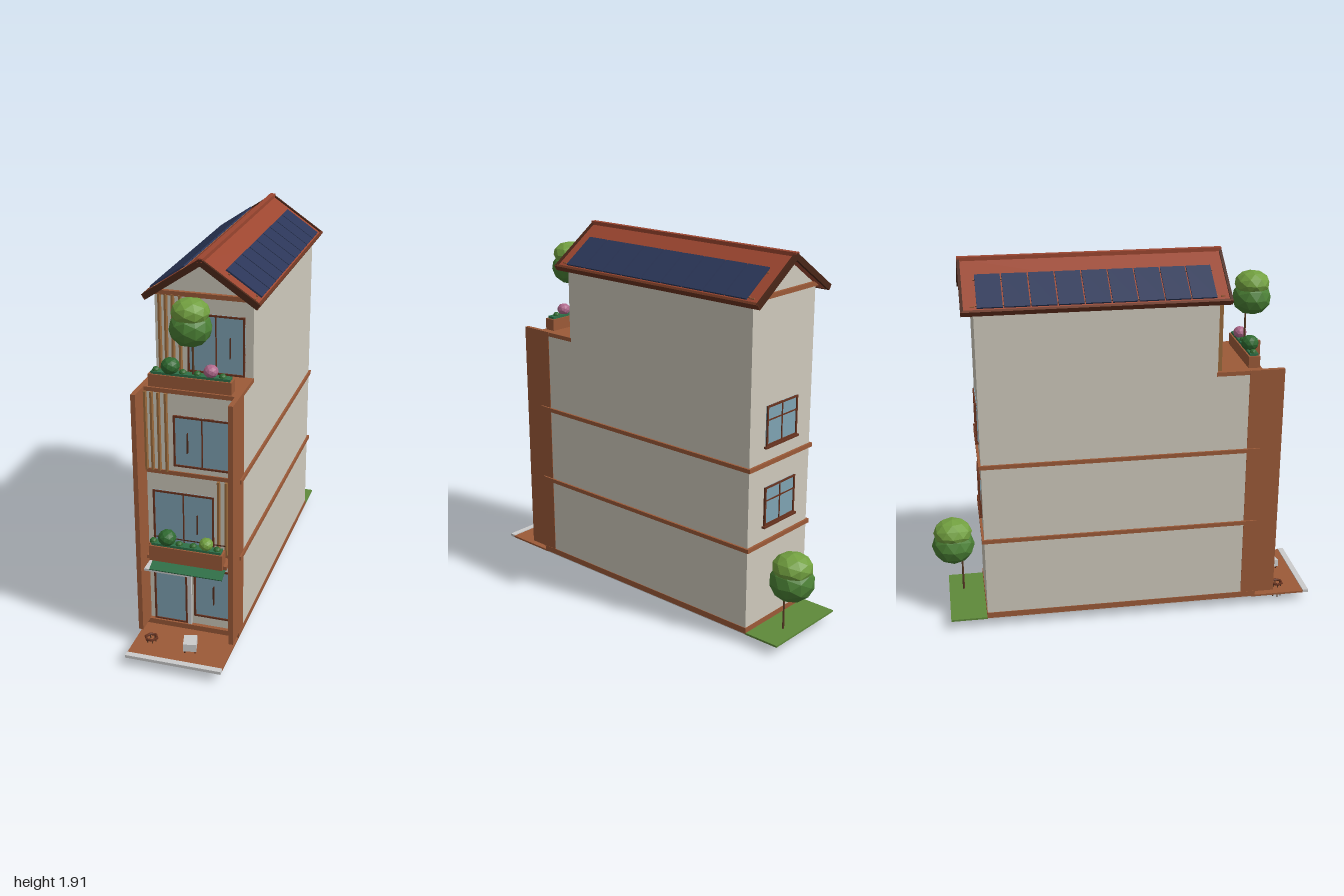
import * as THREE from 'three';

const mat = (color, extra = {}) => {
  const m = new THREE.MeshStandardMaterial({ color, ...extra });
  return m;
};
const M = {
  wall: mat(0xcfcabd), grey: mat(0xcccccc), brown: mat(0x9c5a38), roof: mat(0x9c4630),
  frame: mat(0x6a3420), dark: mat(0x4a2618), glass: mat(0x7fa3b3), panel: mat(0x2b3658),
  wood: mat(0x9a6a3c), awning: mat(0x2f7048), grass: mat(0x5f8a3a), trunk: mat(0x5a3c26),
  leafDark: mat(0x2f6a30, { flatShading: true }), leaf: mat(0x4a7f34, { flatShading: true }),
  leafLight: mat(0x72a040, { flatShading: true }), pink: mat(0xb0698c, { flatShading: true }),
};

function add(parent, name, geometry, material, x = 0, y = 0, z = 0) {
  const mesh = new THREE.Mesh(geometry, material);
  mesh.name = name;
  mesh.position.set(x, y, z);
  parent.add(mesh);
  return mesh;
}

// box given by its extents on each axis
function box(parent, name, material, [x0, x1], [y0, y1], [z0, z1]) {
  return add(parent, name, new THREE.BoxGeometry(x1 - x0, y1 - y0, z1 - z0), material,
    (x0 + x1) / 2, (y0 + y1) / 2, (z0 + z1) / 2);
}

function group(parent, name) {
  const g = new THREE.Group();
  g.name = name;
  parent.add(g);
  return g;
}

// framed glazing standing on a wall at depth z; dir is the outward side
function makeWindow(parent, name, [x0, x1], [y0, y1], z, dir, { mullion = true, transom = false, handle = false } = {}) {
  const g = group(parent, name);
  const t = 0.009, xm = (x0 + x1) / 2;
  const depth = d => (dir > 0 ? [z - 0.002, z + d] : [z - d, z + 0.002]);
  box(g, 'glass', M.glass, [x0, x1], [y0, y1], depth(0.004));
  for (const x of [x0, x1 - t]) box(g, 'frameSide', M.frame, [x, x + t], [y0, y1], depth(0.01));
  for (const y of [y0, y1 - t]) box(g, 'frameRail', M.frame, [x0, x1], [y, y + t], depth(0.01));
  if (mullion) box(g, 'mullion', M.frame, [xm - 0.003, xm + 0.003], [y0, y1], depth(0.008));
  if (transom) {
    const y = y0 + (y1 - y0) * 0.64;
    box(g, 'transom', M.frame, [x0, x1], [y - 0.003, y + 0.003], depth(0.008));
    box(g, 'sill', M.frame, [x0 - 0.01, x1 + 0.01], [y0 - 0.01, y0], depth(0.016));
  }
  if (handle) {
    const x = xm + handle, y = y0 + (y1 - y0) * 0.3;
    box(g, 'handle', M.dark, [x - 0.002, x + 0.002], [y, y + 0.1], depth(0.018));
  }
  return g;
}

function bush(parent, name, material, r, x, y, z, sy = 1) {
  const m = add(parent, name, new THREE.IcosahedronGeometry(r, 1), material, x, y, z);
  m.scale.y = sy;
  return m;
}

function tree(parent, name, x, z, base, crownY, crownZ) {
  const g = group(parent, name);
  add(g, 'trunk', new THREE.CylinderGeometry(0.004, 0.006, crownY - base, 6), M.trunk, x, (crownY + base) / 2, z);
  bush(g, 'lowerCrown', M.leaf, 0.1, x, crownY, crownZ, 0.88);
  bush(g, 'upperCrown', M.leafLight, 0.09, x, crownY + 0.075, crownZ, 0.72);
}

function slats(parent, name, xs, ys, z) {
  const g = group(parent, name);
  for (const x of xs) box(g, 'slat', M.wood, [x - 0.005, x + 0.005], ys, [z, z + 0.025]);
}

function planter(parent, name, [x0, x1], [y0, y1], [z0, z1], flower) {
  const g = group(parent, name);
  const z = (z0 + z1) / 2;
  box(g, 'trough', M.brown, [x0, x1], [y0, y1], [z0, z1]);
  box(g, 'planting', M.awning, [x0 + 0.01, x1 - 0.01], [y1 - 0.01, y1 + 0.012], [z0 + 0.008, z1 - 0.008]);
  bush(g, 'largeBush', M.leafDark, 0.045, -0.1, y1 + 0.04, z, 0.9);
  bush(g, 'smallBush', flower, 0.035, 0.095, y1 + 0.035, z, 0.9);
  for (const x of [-0.17, -0.04, 0.03, 0.15]) bush(g, 'tuft', M.leafDark, 0.018, x, y1 + 0.012, z);
}

function makeRoof(parent) {
  const g = group(parent, 'roof');
  const run = 0.28, rise = 0.19, len = Math.hypot(run, rise), angle = Math.atan2(rise, run);
  const z0 = -0.79, z1 = 0.51, zc = (z0 + z1) / 2;
  for (const s of [1, -1]) {
    const slope = group(g, s > 0 ? 'leftSlope' : 'rightSlope');
    // local x runs down the slope, local y points out of it
    slope.position.set(0, 1.905, 0);
    slope.rotation.y = s > 0 ? 0 : Math.PI;
    const tilt = group(slope, 'tilt');
    tilt.rotation.z = -angle;
    const zo = s * zc;
    add(tilt, 'tiles', new THREE.BoxGeometry(len, 0.018, z1 - z0 - 0.01), M.roof, len / 2, -0.01, zo);
    for (const e of [-1, 1]) {
      add(tilt, 'bargeBoard', new THREE.BoxGeometry(len, 0.03, 0.014), M.dark, len / 2, -0.009, zo + e * 0.643);
    }
    add(tilt, 'eave', new THREE.BoxGeometry(0.014, 0.03, z1 - z0), M.frame, len - 0.004, -0.009, zo);
    // solar panels on two mounting rails
    for (const x of [0.14, 0.3]) add(tilt, 'panelRail', new THREE.BoxGeometry(0.008, 0.008, 1.16), M.brown, x, 0.002, s * -0.14);
    for (let i = 0; i < 9; i++) {
      add(tilt, 'solarPanel', new THREE.BoxGeometry(0.205, 0.008, 0.121), M.panel, 0.218, 0.009, s * (0.372 - i * 0.128));
    }
  }
  box(g, 'ridgeCap', M.roof, [-0.014, 0.014], [1.893, 1.913], [z0, z1]);
  // brown trim under both gables
  for (const [a, b] of [[0.455, 0.475], [-0.745, -0.725]]) {
    box(g, 'gableTie', M.brown, [-0.255, 0.255], [1.715, 1.737], [a, b]);
  }
}

export function createModel() {
  const model = new THREE.Group();
  model.name = 'townHouse';

  // ground
  const site = group(model, 'site');
  box(site, 'foundation', M.grey, [-0.24, 0.24], [0.048, 0.058], [-0.73, 0.68]);
  box(site, 'paving', M.brown, [-0.24, 0.24], [0.048, 0.058], [0.68, 0.97]);
  box(site, 'kerb', M.grey, [-0.24, 0.24], [0.048, 0.063], [0.97, 1]);
  box(site, 'lawn', M.grass, [-0.24, 0.24], [0.048, 0.058], [-0.92, -0.73]);

  // walls: lower storeys, then the set-back top storey with its gables
  const walls = group(model, 'walls');
  box(walls, 'lowerStoreysRear', M.wall, [-0.24, 0.24], [0.055, 1.325], [-0.73, 0.62]);
  box(walls, 'lowerStoreysFront', M.wall, [-0.22, 0.22], [0.055, 1.325], [0.62, 0.68]);
  const gable = new THREE.Shape([[-0.24, 1.32], [0.24, 1.32], [0.24, 1.725], [0, 1.885], [-0.24, 1.725]]
    .map(p => new THREE.Vector2(...p)));
  add(walls, 'topStorey', new THREE.ExtrudeGeometry(gable, { depth: 1.185, bevelEnabled: false }), M.wall, 0, 0, -0.73);

  // brown trim: plinth, floor bands, terrace slab, side fins
  const trim = group(model, 'trim');
  box(trim, 'plinth', M.brown, [-0.243, 0.243], [0.054, 0.085], [-0.733, 0.7]);
  for (const y of [0.49, 0.9]) box(trim, 'floorBand', M.brown, [-0.25, 0.25], [y, y + 0.021], [-0.742, 0.687]);
  box(trim, 'terraceSlab', M.brown, [-0.241, 0.241], [1.319, 1.34], [0.45, 0.69]);
  for (const s of [-1, 1]) {
    const fin = box(trim, 'sideFin', M.brown, [-0.0115, 0.0115], [0.082, 1.341], [0.62, 0.8]);
    fin.position.x = s * 0.2305;
  }

  // front glazing
  const front = group(model, 'frontOpenings');
  makeWindow(front, 'entranceDoor', [-0.195, -0.025], [0.083, 0.395], 0.68, 1, { mullion: false });
  makeWindow(front, 'shopWindow', [0.01, 0.217], [0.135, 0.412], 0.68, 1, { mullion: false, handle: -0.002 });
  makeWindow(front, 'secondFloorWindow', [-0.19, 0.115], [0.512, 0.81], 0.68, 1, { handle: 0.07 });
  makeWindow(front, 'thirdFloorWindow', [-0.08, 0.2], [0.95, 1.21], 0.68, 1, { handle: -0.07 });
  makeWindow(front, 'terraceDoor', [-0.08, 0.2], [1.342, 1.635], 0.455, 1, { handle: 0.07 });
  box(front, 'doorPost', M.grey, [-0.022, -0.002], [0.083, 0.405], [0.675, 0.695]);
  box(front, 'doorCanopy', M.grey, [-0.218, 0], [0.4, 0.412], [0.675, 0.765]);

  // rear windows
  for (const y of [0.59, 1.0]) makeWindow(model, 'rearWindow', [-0.12, 0.12], [y, y + 0.2], -0.73, -1, { transom: true });

  // decorative upright slats
  slats(model, 'secondFloorSlats', [0.14, 0.178, 0.21], [0.511, 0.9], 0.678);
  slats(model, 'thirdFloorSlats', [-0.213, -0.182, -0.148, -0.112], [0.92, 1.32], 0.678);
  slats(model, 'topFloorSlats', [-0.213, -0.182, -0.148, -0.112], [1.34, 1.72], 0.455);

  // balcony with planter, rail and sloping awning
  const balcony = group(model, 'balcony');
  box(balcony, 'balconySlab', M.brown, [-0.2, 0.2], [0.474, 0.492], [0.68, 0.765]);
  planter(balcony, 'balconyPlanter', [-0.183, 0.183], [0.475, 0.555], [0.72, 0.78], M.leafLight);
  box(balcony, 'handrail', M.dark, [-0.18, 0.18], [0.573, 0.577], [0.716, 0.72]);
  const awning = box(balcony, 'awning', M.awning, [-0.183, 0.183], [0.443, 0.449], [0.675, 0.79]);
  awning.rotation.x = 0.38;

  // terrace planting
  planter(model, 'terracePlanter', [-0.2, 0.2], [1.34, 1.4], [0.622, 0.68], M.pink);
  tree(model, 'terraceTree', 0.01, 0.652, 1.4, 1.645, 0.68);
  tree(model, 'gardenTree', 0.08, -0.842, 0.05, 0.33, -0.885);
  model.getObjectByName('gardenTree').children.slice(1).forEach(c => c.scale.multiplyScalar(1.14));

  makeRoof(model);

  // forecourt furniture: a six-sided stool and a small bench box
  const stool = group(model, 'stool');
  const seat = add(stool, 'seatRing', new THREE.TorusGeometry(0.029, 0.007, 5, 6), M.frame, -0.16, 0.078, 0.845);
  seat.rotation.x = Math.PI / 2;
  for (let i = 0; i < 6; i++) {
    const a = i * Math.PI / 3;
    add(stool, 'leg', new THREE.CylinderGeometry(0.003, 0.003, 0.075, 5), M.trunk,
      -0.16 + 0.024 * Math.cos(a), 0.0375, 0.845 + 0.024 * Math.sin(a));
  }
  const bench = group(model, 'bench');
  bench.position.set(0.045, 0, 0.86);
  bench.rotation.y = 0.25;
  box(bench, 'benchTop', M.grey, [-0.032, 0.032], [0.072, 0.112], [-0.04, 0.04]);
  for (const x of [-0.025, 0.025]) for (const z of [-0.03, 0.03]) {
    box(bench, 'benchLeg', M.dark, [x - 0.003, x + 0.003], [0.05, 0.074], [z - 0.003, z + 0.003]);
  }
  return model;
}
